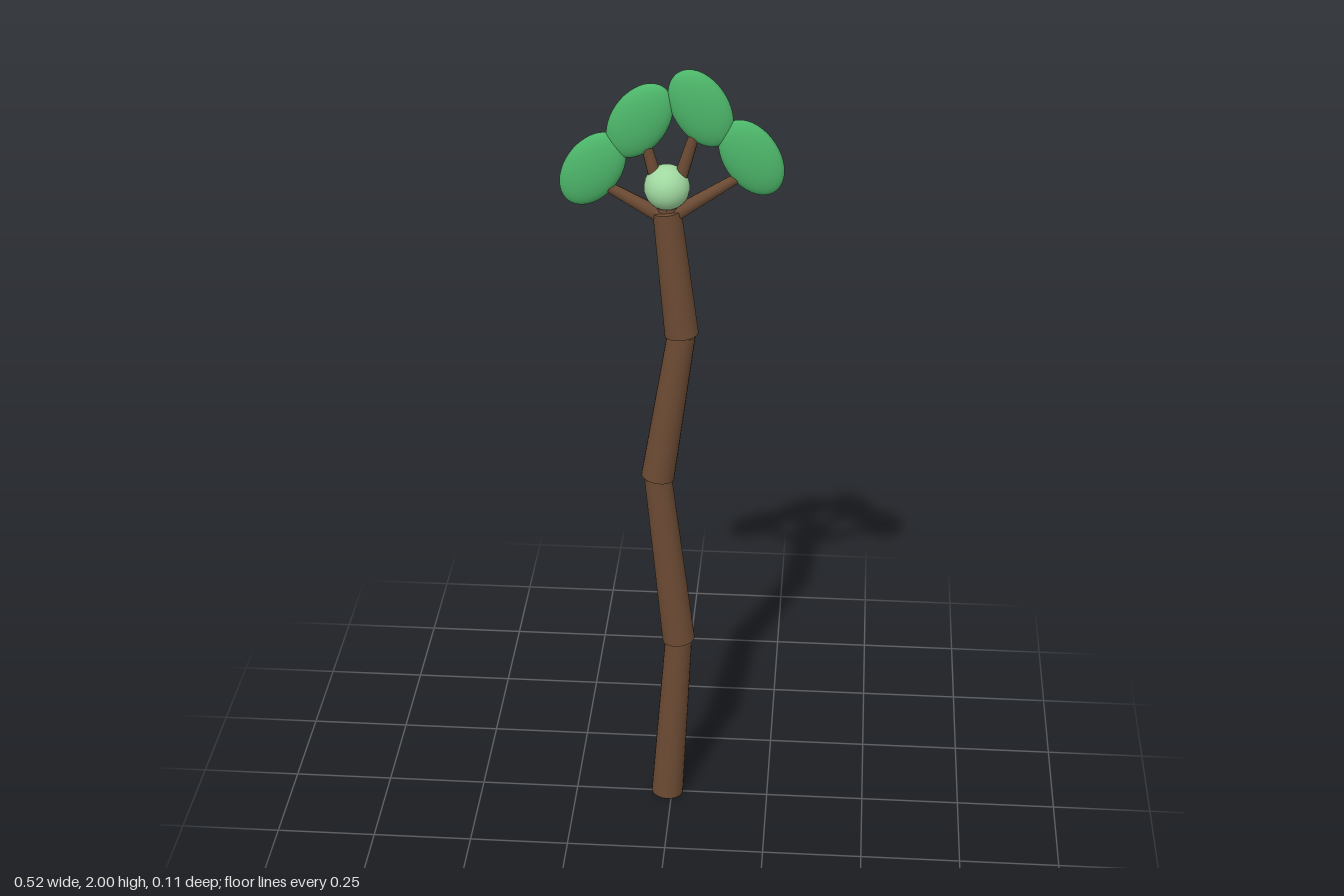
import * as THREE from 'three';

const bark = new THREE.MeshStandardMaterial({ name: 'bark brown', color: 0x6b4a33 });
const leafGreen = new THREE.MeshStandardMaterial({ name: 'leaf green', color: 0x4cb569 });
const paleGreen = new THREE.MeshStandardMaterial({ name: 'pale green', color: 0xa0d8a0 });

// Tapered cylinder between two points in the z = 0 plane
function limb(name, [x0, y0], [x1, y1], r0, r1, sides) {
  const dx = x1 - x0, dy = y1 - y0;
  const mesh = new THREE.Mesh(new THREE.CylinderGeometry(r1, r0, Math.hypot(dx, dy), sides), bark);
  mesh.name = name;
  mesh.position.set((x0 + x1) / 2, (y0 + y1) / 2, 0);
  mesh.rotation.z = -Math.atan2(dx, dy);
  return mesh;
}

export function createModel() {
  const tree = new THREE.Group();
  tree.name = 'tree';

  // Zigzag trunk of four stacked segments
  const joints = [[-0.012, 0.004], [0.017, 0.477], [-0.035, 0.947], [0.023, 1.338], [-0.012, 1.655]];
  for (let i = 0; i < 4; i++) {
    tree.add(limb('trunkSegment' + (i + 1), joints[i], joints[i + 1], 0.041, 0.034, 24));
  }

  // Fan of branches, each ending in a flattened oval leaf cluster
  const fan = [
    { tip: [-0.155, 1.715], leaf: [-0.185, 1.756], tilt: -0.6 },
    { tip: [-0.063, 1.83], leaf: [-0.075, 1.877], tilt: -0.58 },
    { tip: [0.056, 1.86], leaf: [0.066, 1.911], tilt: 0.52 },
    { tip: [0.155, 1.745], leaf: [0.184, 1.794], tilt: 0.56 },
  ];
  fan.forEach(({ tip, leaf, tilt }, i) => {
    tree.add(limb('branch' + (i + 1), [-0.012, 1.635], tip, 0.019, 0.012, 12));
    const mesh = new THREE.Mesh(new THREE.SphereGeometry(1, 32, 20), leafGreen);
    mesh.name = 'leafCluster' + (i + 1);
    mesh.scale.set(0.066, 0.1, 0.027);
    mesh.position.set(leaf[0], leaf[1], 0);
    mesh.rotation.z = tilt;
    tree.add(mesh);
  });

  // Round bud at the crown
  const bud = new THREE.Mesh(new THREE.SphereGeometry(0.054, 28, 18), paleGreen);
  bud.name = 'bud';
  bud.position.set(-0.012, 1.715, 0);
  tree.add(bud);

  return tree;
}
